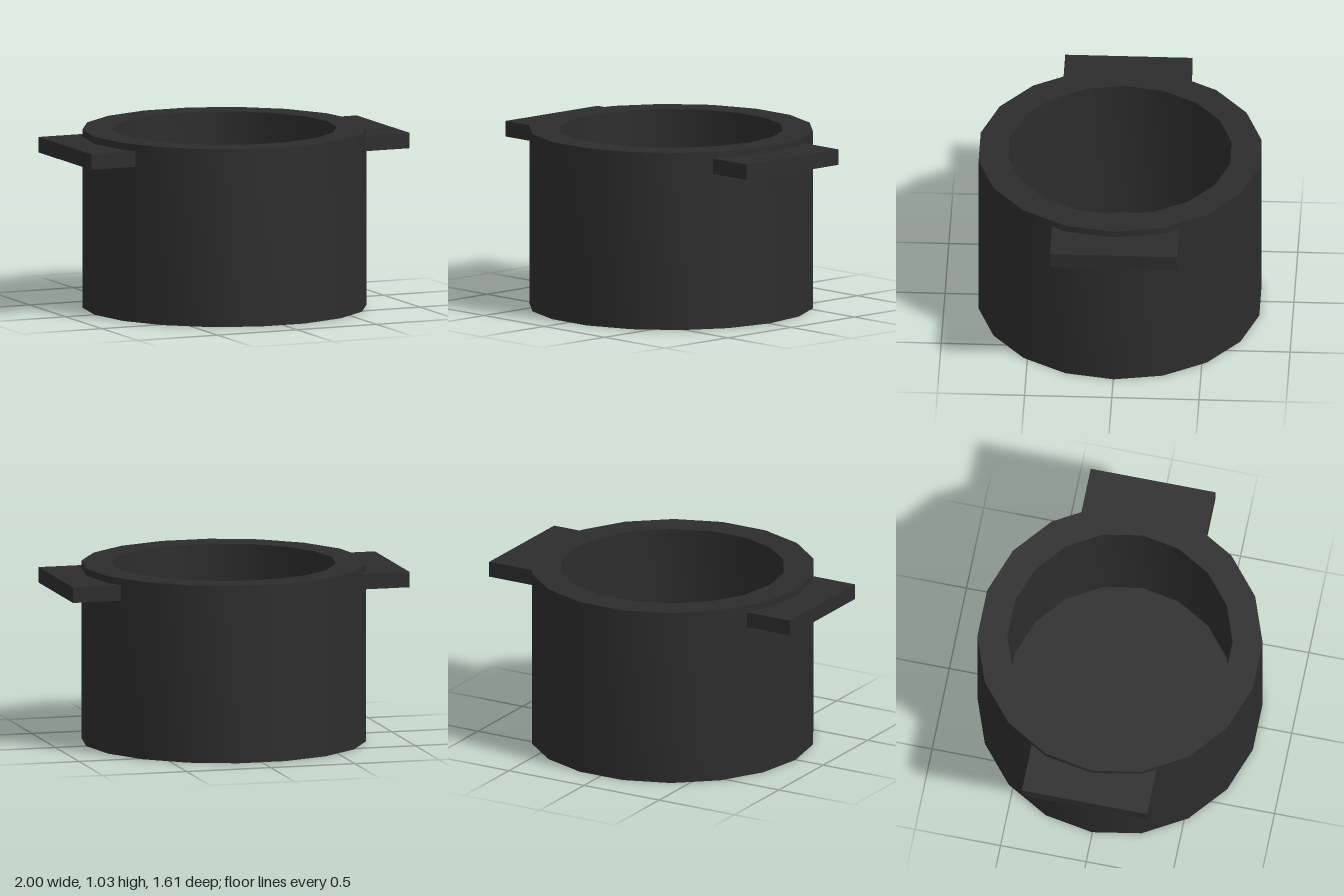
import * as THREE from 'three';
import { toCreasedNormals } from 'three/addons/utils/BufferGeometryUtils.js';

export function createModel() {
  const model = new THREE.Group();
  model.name = 'cookingPot';
  const material = new THREE.MeshStandardMaterial({ color: 0x2d2d2d });

  // Thick-walled 18-sided pot: underside, outer wall, rim, inner wall, floor
  const outer = 0.817, inner = 0.645, height = 1.03, floor = 0.15;
  const profile = [
    [0, 0], [outer, 0], [outer, height], [inner, height], [inner, floor], [0, floor],
  ].map(([x, y]) => new THREE.Vector2(x, y));
  const potGeometry = toCreasedNormals(new THREE.LatheGeometry(profile, 18, Math.PI / 2), 0.6);
  const pot = new THREE.Mesh(potGeometry, material);
  pot.name = 'pot';
  pot.position.z = -0.003;
  model.add(pot);

  // Flat slab handles, set into the wall on both sides
  const innerEnd = 0.7, outerEnd = 1;
  for (const [side, name] of [[1, 'leftHandle'], [-1, 'rightHandle']]) {
    const handle = new THREE.Mesh(new THREE.BoxGeometry(outerEnd - innerEnd, 0.09, 0.73), material);
    handle.name = name;
    handle.position.set(side * (innerEnd + outerEnd) / 2, 0.945, -0.01);
    model.add(handle);
  }
  return model;
}
